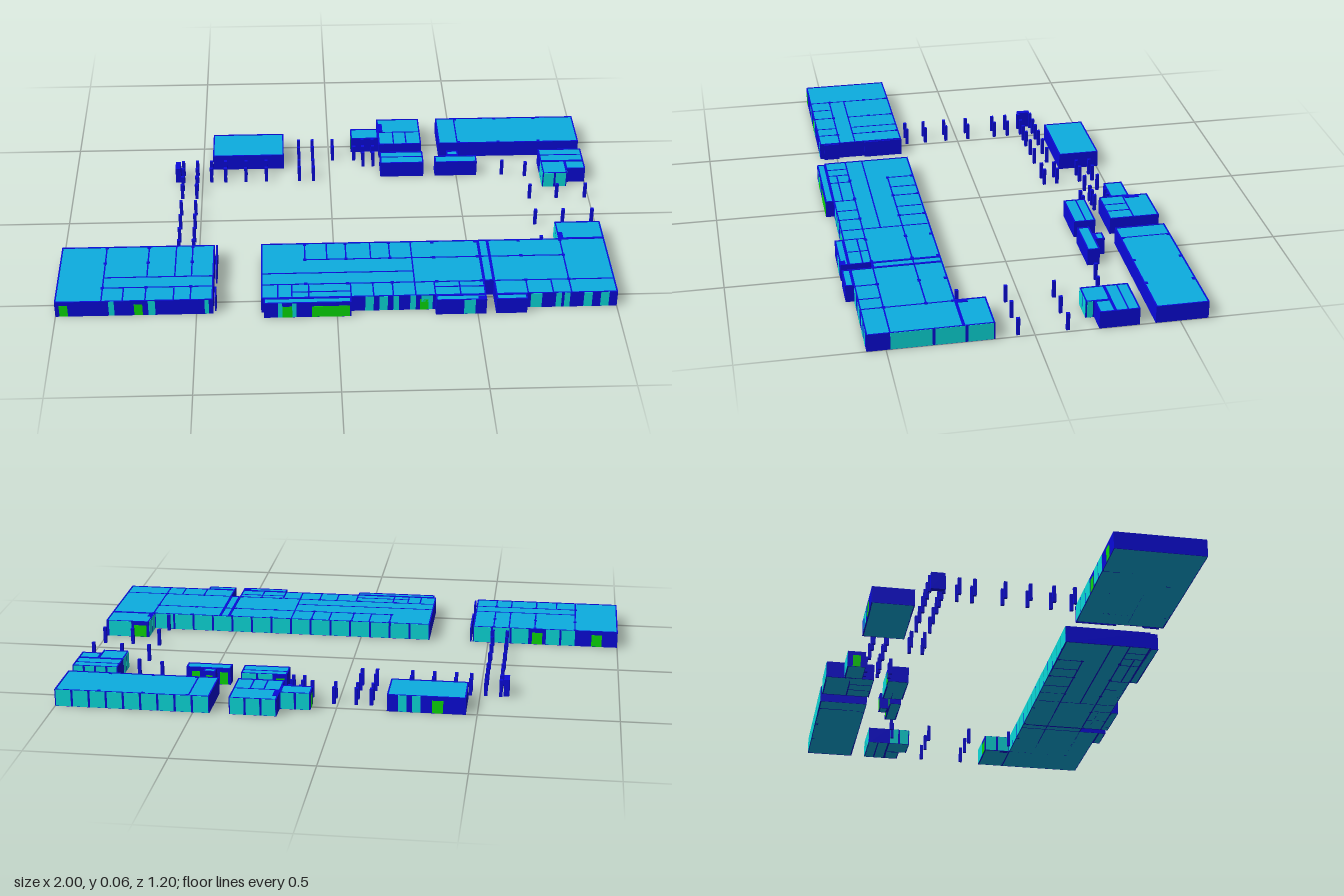
import * as THREE from 'three';

const H = 0.064, T = 0.005;
const mat = (color) => new THREE.MeshStandardMaterial({ color, side: THREE.DoubleSide });
const ROOM = mat(0x0cadE0), WALL = mat(0x0a0adc), GLASS = mat(0x0adcdc), DOOR = mat(0x0adc0a);

export function createModel() {
  const model = new THREE.Group();

  // box given by its plan rectangle and its height range
  function box(parent, name, x0, x1, z0, z1, y0, y1, material) {
    const mesh = new THREE.Mesh(new THREE.BoxGeometry(x1 - x0, y1 - y0, z1 - z0), material);
    mesh.position.set((x0 + x1) / 2, (y0 + y1) / 2, (z0 + z1) / 2);
    mesh.name = name;
    parent.add(mesh);
  }

  // room volume enclosed by four thin walls
  function block(name, x0, x1, z0, z1) {
    const g = new THREE.Group();
    g.name = name;
    box(g, 'rooms', x0 + T / 2, x1 - T / 2, z0 + T / 2, z1 - T / 2, 0, H - 0.002, ROOM);
    for (const z of [z0, z1 - T]) box(g, 'wall', x0, x1, z, z + T, 0, H, WALL);
    for (const x of [x0, x1 - T]) box(g, 'wall', x, x + T, z0 + T, z1 - T, 0, H, WALL);
    model.add(g);
  }

  // facade panels: runs along x at a fixed z, or along z at a fixed x
  function panels(name, axis, at, spans, material, h = H - 0.001) {
    const e = 0.001;
    for (const [a, b] of spans) {
      if (axis === 'x') box(model, name, a, b, at - e, at + e, 0.001, h, material);
      else box(model, name, at - e, at + e, a, b, 0.001, h, material);
    }
  }
  const windows = (axis, at, spans) => panels('window', axis, at, spans, GLASS);
  const doors = (axis, at, spans) => panels('door', axis, at, spans, DOOR, 0.048);

  // n equal windows with posts between them
  const row = (a, b, n, gap = 0.008) => Array.from({ length: n }, (_, i) => {
    const w = (b - a) / n;
    return [a + i * w + gap / 2, a + (i + 1) * w - gap / 2];
  });

  // thin inner walls
  const partX = (z, x0, x1) => box(model, 'partition', x0, x1, z - T / 2, z + T / 2, 0, H - 0.001, WALL);
  const partZ = (x, z0, z1) => box(model, 'partition', x - T / 2, x + T / 2, z0, z1, 0, H - 0.001, WALL);

  // building blocks
  block('frontLeftWing', -1, -0.44, 0.24, 0.565);
  block('mainWingWest', -0.27, 0.53, 0.24, 0.565);
  block('mainWingLink', 0.53, 0.565, 0.24, 0.485);
  block('mainWingEast', 0.565, 1, 0.24, 0.565);
  block('mainWingReturn', 0.83, 1, 0.135, 0.24);
  block('frontBay', -0.26, 0.05, 0.565, 0.595);
  block('frontBay', 0.35, 0.53, 0.565, 0.595);
  block('frontBay', 0.565, 0.675, 0.565, 0.595);
  block('rearPavilion', -0.46, -0.18, -0.505, -0.35);
  block('rearAnnex', 0.09, 0.2, -0.53, -0.46);
  block('rearMiddleBlock', 0.2, 0.37, -0.6, -0.415);
  block('rearRightBlock', 0.44, 1, -0.6, -0.415);
  block('courtBlock', 0.2, 0.37, -0.36, -0.28);
  block('courtKiosk', 0.415, 0.58, -0.325, -0.28);
  block('courtKioskBack', 0.465, 0.51, -0.36, -0.325);
  block('rightCourtBlock', 0.83, 1, -0.36, -0.275);
  block('rightCourtAnnex', 0.83, 0.925, -0.275, -0.19);
  block('rightCourtAnnex', 0.925, 1, -0.275, -0.22);

  // partitions of the front left wing
  partZ(-0.835, 0.24, 0.565);
  for (const x of [-0.68, -0.58, -0.52]) partZ(x, 0.24, 0.425);
  for (const x of [-0.76, -0.68, -0.58, -0.52]) partZ(x, 0.485, 0.565);
  for (const z of [0.425, 0.485]) partX(z, -0.835, -0.44);

  // partitions of the main wing
  for (const x of [-0.11, -0.03, 0.04, 0.13, 0.2]) partZ(x, 0.24, 0.34);
  for (const x of [-0.21, -0.16, -0.1, 0.05, 0.13, 0.2, 0.35, 0.44, 0.68, 0.77]) partZ(x, 0.485, 0.565);
  partZ(0.28, 0.24, 0.565);
  partZ(0.835, 0.24, 0.565);
  partX(0.34, -0.11, 0.835);
  partX(0.42, -0.27, 0.28);
  partX(0.485, -0.27, 1);
  partX(0.53, -0.16, 0.05);
  partX(0.515, 0.35, 0.53);

  // partitions of the rear blocks
  partX(-0.505, 0.2, 0.37);
  for (const x of [0.26, 0.31]) partZ(x, -0.505, -0.415);
  partZ(0.515, -0.6, -0.415);
  partX(-0.325, 0.2, 0.37);
  partX(-0.32, 0.83, 1);
  box(model, 'shaft', 0.2, 0.22, -0.565, -0.51, 0, H, WALL);
  box(model, 'shaft', 0.465, 0.51, -0.335, -0.32, 0, H, WALL);

  // front windows and doors
  windows('x', 0.565, [[-0.81, -0.79], [-0.67, -0.645], [-0.47, -0.455], [0.1, 0.13], [0.15, 0.18],
    [0.2, 0.22], [0.26, 0.28], [0.3, 0.34], [0.69, 0.73], [0.78, 0.8], [0.81, 0.83], [0.88, 0.91], [0.94, 0.97]]);
  windows('x', 0.595, [[-0.21, -0.195], [-0.16, -0.145], [0.45, 0.49]]);
  doors('x', 0.565, [[-0.985, -0.955], [-0.72, -0.69], [0.295, 0.325]]);
  doors('x', 0.595, [[-0.195, -0.16], [-0.09, 0.045]]);
  doors('x', 0.485, [[0.538, 0.558]]);

  // rear faces of the front wings
  windows('x', 0.24, [...row(-0.84, -0.72, 2), ...row(-0.66, -0.44, 3), ...row(-0.27, 0.83, 14)]);
  doors('x', 0.24, [[-0.94, -0.9], [-0.71, -0.67]]);
  windows('x', 0.135, [[0.9, 0.99]]);
  doors('x', 0.135, [[0.84, 0.89]]);
  windows('z', 1, [[0.14, 0.225], [0.235, 0.335], [0.345, 0.485]]);
  windows('z', 0.83, row(0.135, 0.24, 2));

  // rear buildings
  windows('x', -0.6, [...row(0.2, 0.37, 3), ...row(0.44, 1, 9)]);
  windows('x', -0.53, row(0.09, 0.2, 2));
  windows('x', -0.505, [[-0.3, -0.27], [-0.25, -0.22]]);
  doors('x', -0.505, [[-0.38, -0.34]]);
  doors('z', 0.09, [[-0.51, -0.48]]);
  windows('x', -0.36, [...row(0.25, 0.37, 2), ...row(0.83, 1, 4)]);
  doors('x', -0.36, [[0.21, 0.24], [0.475, 0.5]]);
  doors('x', -0.325, [[0.425, 0.455], [0.53, 0.56]]);
  windows('x', -0.19, row(0.83, 0.925, 2));
  windows('z', 0.925, [[-0.215, -0.195]]);
  windows('z', 0.83, row(-0.275, -0.19, 2));

  // columns: free-standing colonnades and those set in the walls
  function columns(xs, zs, s = 0.006) {
    for (const x of xs) for (const z of zs) box(model, 'column', x - s, x + s, z - s, z + s, 0, H, WALL);
  }
  columns([-0.12, -0.065, 0.015], [-0.455, -0.405]);
  columns([0.1, 0.135, 0.175], [-0.405]);
  columns([0.135, 0.175], [-0.455, -0.36]);
  columns([-0.575, -0.52, -0.465, -0.41, -0.33, -0.25, -0.12, -0.065], [-0.315, -0.265]);
  columns([-0.575, -0.52], [-0.21, -0.155, -0.045, 0.045, 0.13, 0.205]);
  columns([0.77, 0.875, 0.985], [-0.115, 0.055]);
  columns([0.68], [-0.285]);
  columns([0.77], [-0.27, 0.225]);
  columns([-0.835, -0.68, -0.52], [0.248, 0.34, 0.485]);
  columns([-0.11, 0.04, 0.2, 0.36, 0.52, 0.68, 0.835], [0.248, 0.34, 0.485]);
  columns([0.52, 0.68, 0.84], [-0.592, -0.423]);

  // stair shaft and the wall fins beside the front left wing
  box(model, 'stairShaft', -0.605, -0.585, -0.315, -0.265, 0, H, WALL);
  box(model, 'wallFin', -0.435, -0.429, 0.24, 0.39, 0, H, WALL);
  box(model, 'wallFin', -0.435, -0.429, 0.49, 0.55, 0, H, WALL);
  box(model, 'wallPier', 0.83, 0.85, 0.2, 0.235, 0, H, WALL);
  box(model, 'wallPier', 0.5, 0.525, 0.575, 0.595, 0, H, WALL);

  return model;
}
